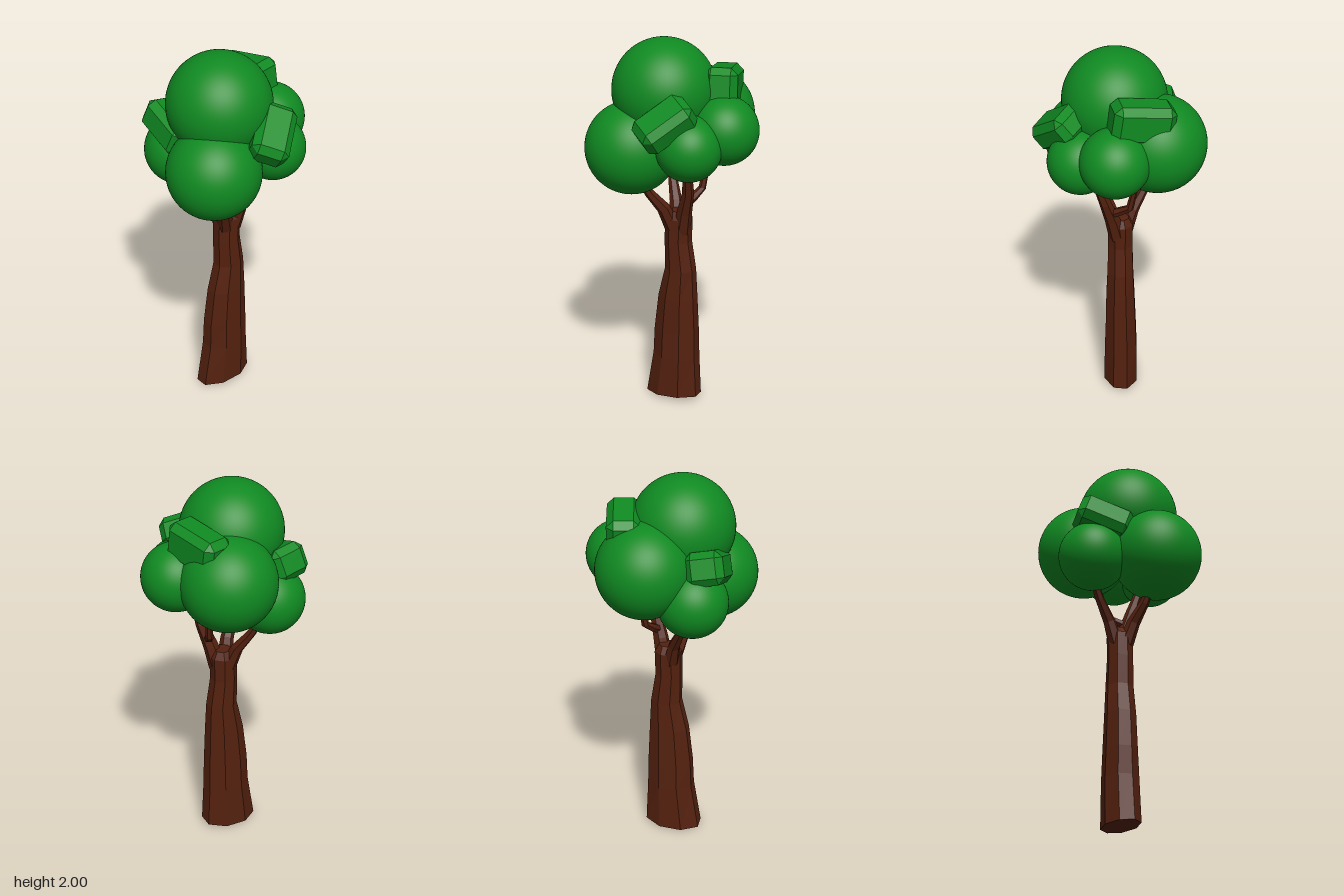
import * as THREE from 'three';
import { ConvexGeometry } from 'three/addons/geometries/ConvexGeometry.js';

const bark = new THREE.MeshStandardMaterial({ color: 0x54210f, flatShading: true, side: THREE.DoubleSide });
const leaf = new THREE.MeshStandardMaterial({ color: 0x108a22 });
const leafFlat = new THREE.MeshStandardMaterial({ color: 0x108a22, flatShading: true });
const UP = new THREE.Vector3(0, 1, 0);

// Skins rings given as [x, y, z, radiusX, radiusZ]; rings turn to follow the path when bend is set
function loft(rings, sides, bend) {
  const centres = rings.map(r => new THREE.Vector3(r[0], r[1], r[2]));
  const pos = [], index = [];
  rings.forEach((r, i) => {
    const tangent = centres[Math.min(i + 1, rings.length - 1)].clone()
      .sub(centres[Math.max(i - 1, 0)]).normalize();
    const q = new THREE.Quaternion();
    if (bend) q.setFromUnitVectors(UP, tangent);
    for (let s = 0; s < sides; s++) {
      const a = (s + 0.5) / sides * Math.PI * 2;
      const p = new THREE.Vector3(Math.sin(a) * r[3], 0, Math.cos(a) * r[4]).applyQuaternion(q).add(centres[i]);
      // sloping cut at the foot of the trunk
      if (!bend && i === 0) p.y = Math.max(0, 0.014 - 0.06 * p.z + 0.1 * p.x);
      pos.push(p.x, p.y, p.z);
    }
  });
  for (let i = 0; i < rings.length - 1; i++) {
    for (let s = 0; s < sides; s++) {
      const a = i * sides + s, b = i * sides + (s + 1) % sides;
      index.push(a, b, b + sides, a, b + sides, a + sides);
    }
  }
  // end caps
  const last = (rings.length - 1) * sides;
  for (let s = 1; s < sides - 1; s++) {
    index.push(0, s + 1, s, last, last + s, last + s + 1);
  }
  const g = new THREE.BufferGeometry();
  g.setAttribute('position', new THREE.Float32BufferAttribute(pos, 3));
  g.setIndex(index);
  g.computeVertexNormals();
  return g;
}

// Box with all edges cut off
function chamferedBox(w, h, d, c) {
  const pts = [];
  for (const x of [-1, 1]) for (const y of [-1, 1]) for (const z of [-1, 1]) {
    for (let k = 0; k < 3; k++) {
      pts.push(new THREE.Vector3(
        x * (w / 2 - (k === 0 ? 0 : c)),
        y * (h / 2 - (k === 1 ? 0 : c)),
        z * (d / 2 - (k === 2 ? 0 : c))));
    }
  }
  return new ConvexGeometry(pts);
}

export function createModel() {
  const tree = new THREE.Group();
  tree.name = 'tree';
  const add = (parent, name, geometry, material) => {
    const mesh = new THREE.Mesh(geometry, material);
    mesh.name = name;
    parent.add(mesh);
    return mesh;
  };

  // Trunk, wide and leaning forward at the foot
  add(tree, 'trunk', loft([
    [0.003, 0, 0.03, 0.098, 0.157],
    [0.003, 0.25, 0.015, 0.094, 0.13],
    [0.003, 0.4, 0.013, 0.088, 0.125],
    [0.005, 0.6, 0.005, 0.081, 0.108],
    [0.005, 0.76, -0.01, 0.073, 0.084],
    [0.005, 0.92, 0.003, 0.069, 0.072],
    [0.005, 1.05, 0, 0.07, 0.073],
    [0.003, 1.09, -0.005, 0.045, 0.045],
  ], 8, false), bark);

  // Branches
  const branches = new THREE.Group();
  branches.name = 'branches';
  tree.add(branches);
  const branchPaths = {
    frontBranch: [[0.03, 1.0, 0.025, 0.042], [0.065, 1.11, 0.06, 0.035], [0.11, 1.2, 0.12, 0.025], [0.15, 1.32, 0.17, 0.018]],
    rightBranch: [[-0.02, 1.0, 0.02, 0.042], [-0.06, 1.11, 0.045, 0.033], [-0.12, 1.21, 0.09, 0.024], [-0.17, 1.32, 0.13, 0.018]],
    backBranch: [[0.02, 0.98, -0.025, 0.045], [0.045, 1.1, -0.05, 0.04], [0.08, 1.22, -0.085, 0.031], [0.14, 1.4, -0.105, 0.02]],
    twig: [[0.06, 1.14, -0.06, 0.024], [0.0, 1.175, -0.085, 0.023], [-0.045, 1.21, -0.11, 0.02], [-0.075, 1.36, -0.13, 0.015]],
  };
  for (const [name, path] of Object.entries(branchPaths)) {
    add(branches, name, loft(path.map(p => [...p, p[3]]), 6, true), bark);
  }

  // Round leaf clumps: x, y, z, radius
  const foliage = new THREE.Group();
  foliage.name = 'foliage';
  tree.add(foliage);
  const clumps = {
    topClump: [0.035, 1.735, 0.067, 0.265],
    frontClump: [0.16, 1.452, 0.192, 0.238],
    rightClump: [-0.18, 1.57, -0.078, 0.246],
    frontRightClump: [-0.175, 1.42, 0.165, 0.18],
    backClump: [0.027, 1.56, -0.257, 0.176],
    backLeftClump: [0.2, 1.5, -0.14, 0.166],
  };
  for (const [name, [x, y, z, r]] of Object.entries(clumps)) {
    add(foliage, name, new THREE.SphereGeometry(r, 64, 40), leaf).position.set(x, y, z);
  }

  // Angular leaf blocks: centre, long axis, upper face direction, size
  const blocks = {
    backBlock: [[-0.1, 1.755, -0.2], [0.94, 0.14, -0.24], [-0.13, 1, 0.03], [0.31, 0.2, 0.17]],
    leftBlock: [[0.3, 1.645, -0.055], [0.5, -0.5, 0.6], [0.6, 0.75, 0.1], [0.29, 0.15, 0.19]],
    frontBlock: [[-0.135, 1.595, 0.235], [0.94, -0.32, 0], [0.3, 0.95, -0.2], [0.29, 0.17, 0.19]],
  };
  for (const [name, [centre, axis, up, size]] of Object.entries(blocks)) {
    const x = new THREE.Vector3(...axis).normalize();
    const z = x.clone().cross(new THREE.Vector3(...up)).normalize();
    const y = z.clone().cross(x);
    const mesh = add(foliage, name, chamferedBox(...size, 0.035), leafFlat);
    mesh.quaternion.setFromRotationMatrix(new THREE.Matrix4().makeBasis(x, y, z));
    mesh.position.set(...centre);
  }
  return tree;
}
